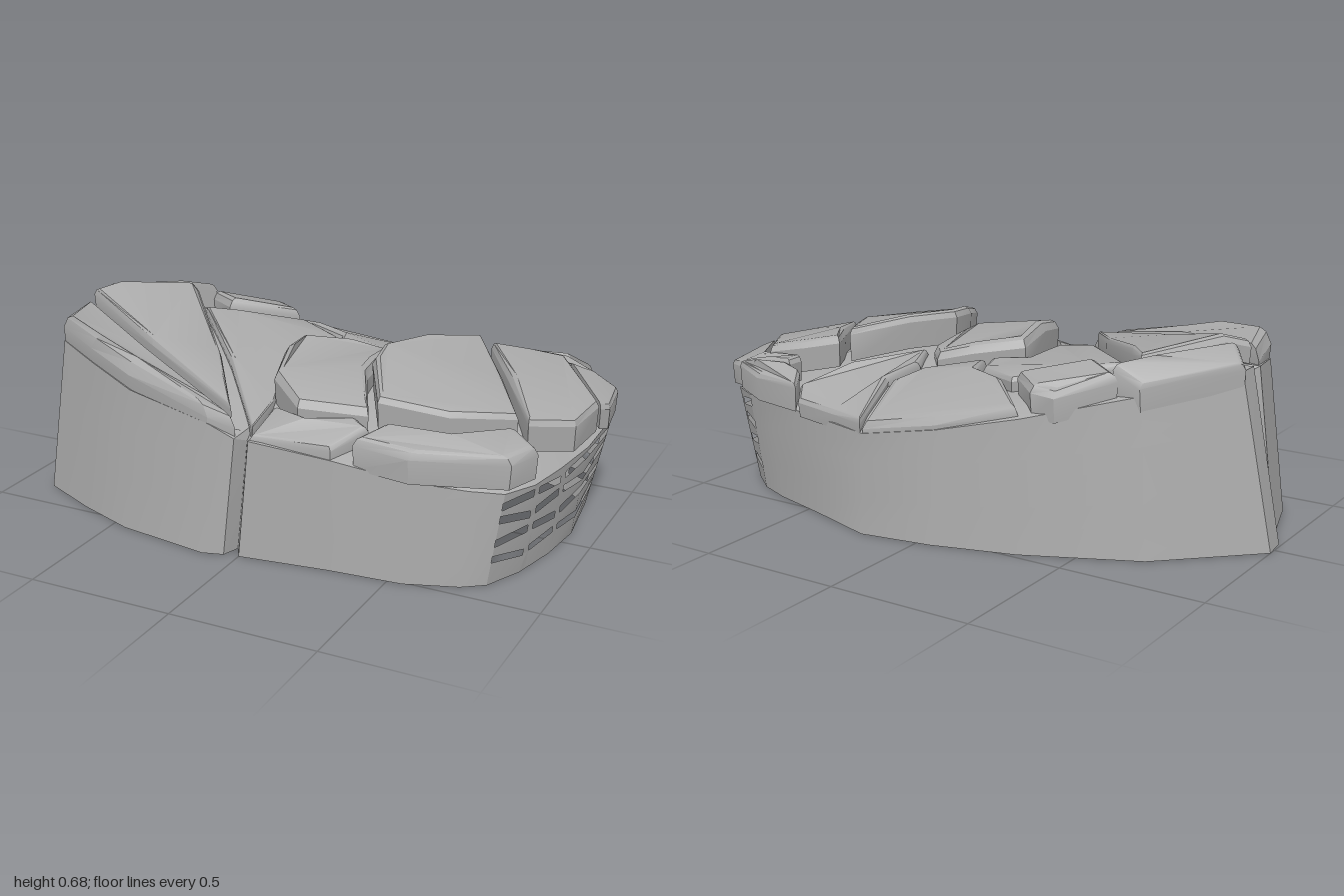
import * as THREE from 'three';
import { toCreasedNormals } from 'three/addons/utils/BufferGeometryUtils.js';

const stone = new THREE.MeshStandardMaterial({ color: 0xaaaaaa, side: THREE.DoubleSide });
stone.name = 'grey stone';

// Skin rings of [x, y, z] points; optionally close each ring and cap the last one
function loft(rings, closed, cap) {
  const n = rings[0].length;
  const index = [];
  for (let r = 0; r < rings.length - 1; r++) {
    for (let i = 0; i < (closed ? n : n - 1); i++) {
      const j = (i + 1) % n, a = r * n, b = a + n;
      index.push(a + i, a + j, b + j, a + i, b + j, b + i);
    }
  }
  if (cap) {
    const top = rings[rings.length - 1].map(p => new THREE.Vector2(p[0], -p[2]));
    const base = (rings.length - 1) * n;
    for (const f of THREE.ShapeUtils.triangulateShape(top, [])) index.push(...f.map(i => base + i));
  }
  const g = new THREE.BufferGeometry();
  g.setAttribute('position', new THREE.Float32BufferAttribute(rings.flat(2), 3));
  g.setIndex(index);
  return toCreasedNormals(g, 0.5);
}

const mix = (a, b, t) => a.map((v, i) => v + (b[i] - v) * t);

// Outline: foot x, z then rim x, z and rim height
const outline = [
  [0.78, -0.41, 0.83, -0.42, 0.34], [0.66, -0.46, 0.69, -0.48, 0.35],
  [0.45, -0.52, 0.47, -0.51, 0.34], [0.2, -0.6, 0.2, -0.58, 0.34], [-0.05, -0.56, -0.05, -0.53, 0.38],
  [-0.33, -0.48, -0.32, -0.45, 0.44], [-0.7, -0.31, -0.65, -0.27, 0.52], [-1, -0.03, -0.88, -0.03, 0.58],
  [-0.99, 0.06, -0.88, 0.05, 0.58], [-0.94, 0.08, -0.85, 0.07, 0.55], [-0.95, 0.11, -0.88, 0.1, 0.57],
  [-0.87, 0.37, -0.82, 0.32, 0.54], [-0.66, 0.47, -0.64, 0.42, 0.52], [-0.45, 0.55, -0.44, 0.5, 0.48],
  [-0.12, 0.6, -0.11, 0.56, 0.44], [-0.05, 0.58, -0.02, 0.55, 0.4], [-0.03, 0.52, 0, 0.5, 0.38],
  [0, 0.57, 0.03, 0.55, 0.4], [0.3, 0.53, 0.3, 0.51, 0.37], [0.55, 0.51, 0.56, 0.49, 0.34],
  [0.72, 0.45, 0.73, 0.43, 0.32], [0.79, 0.4, 0.83, 0.38, 0.31],
];
const brokenEnd = [
  outline[outline.length - 1], [0.85, 0.27, 0.89, 0.27, 0.31], [0.89, 0.1, 0.92, 0.1, 0.31],
  [0.91, -0.08, 0.95, -0.08, 0.32], [0.88, -0.33, 0.95, -0.34, 0.33], outline[0],
];
const onWall = (p, t) => [p[0] + (p[2] - p[0]) * t, p[4] * t, p[1] + (p[3] - p[1]) * t];
const bedHeight = (x, z) =>
  0.48 - 0.12 * x - 0.3 * z * z + 0.06 * Math.exp(-10 * ((x - 0.5) ** 2 + (z - 0.05) ** 2));

// Tops of the separate blocks: [x, z, height] round each edge, then side depth and bevel
const slabs = {
  frontLeftBlock: [[[-0.87, 0.11, 0.63], [-0.82, 0.32, 0.64], [-0.64, 0.42, 0.62], [-0.44, 0.5, 0.58],
    [-0.11, 0.56, 0.51], [-0.02, 0.54, 0.48], [-0.1, 0.52, 0.51], [-0.5, 0.31, 0.58]], 0.1, 0.05],
  leftRidgeBlock: [[[-0.86, 0.07, 0.66], [-0.48, 0.29, 0.59], [-0.05, 0.51, 0.5], [-0.25, 0.22, 0.56],
    [-0.55, -0.15, 0.64], [-0.62, -0.22, 0.64], [-0.8, 0.01, 0.68]], 0.08, 0.025],
  leftTipBlock: [[[-0.89, -0.03, 0.61], [-0.84, 0.02, 0.66], [-0.64, -0.22, 0.64], [-0.56, -0.29, 0.62],
    [-0.65, -0.28, 0.57]], 0.1, 0.025],
  backLeftBlock: [[[-0.58, -0.29, 0.59], [-0.45, -0.19, 0.6], [-0.23, -0.32, 0.56], [-0.34, -0.42, 0.55],
    [-0.42, -0.41, 0.54]], 0.11, 0.03],
  centreLeftBlock: [[[-0.52, -0.14, 0.58], [-0.22, 0.21, 0.53], [0.03, 0.52, 0.44], [0.02, 0.36, 0.47],
    [-0.04, 0.17, 0.5], [-0.06, -0.01, 0.51], [0.01, -0.12, 0.52], [-0.03, -0.22, 0.52],
    [-0.2, -0.31, 0.53], [-0.42, -0.19, 0.57]], 0.08, 0.02],
  backBlock: [[[-0.31, -0.44, 0.48], [-0.18, -0.31, 0.52], [-0.02, -0.22, 0.52], [0.02, -0.12, 0.52],
    [0.24, -0.2, 0.48], [0.28, -0.32, 0.46], [0.2, -0.58, 0.39], [-0.05, -0.53, 0.43]], 0.08, 0.035],
  backLedge: [[[0.21, -0.58, 0.39], [0.29, -0.32, 0.46], [0.25, -0.19, 0.49], [0.31, -0.06, 0.5],
    [0.48, -0.28, 0.48], [0.56, -0.46, 0.43], [0.52, -0.52, 0.4], [0.35, -0.54, 0.39]], 0.07, 0.02],
  centreBlock: [[[-0.07, -0.02, 0.58], [-0.04, 0.16, 0.6], [0.01, 0.33, 0.57], [0.15, 0.44, 0.53],
    [0.36, 0.36, 0.51], [0.27, 0.17, 0.56], [0.25, 0.03, 0.56], [0.27, -0.08, 0.53], [0.2, -0.16, 0.53],
    [0.08, -0.12, 0.56]], 0.12, 0.035],
  frontLedge: [[[0.03, 0.54, 0.42], [0.3, 0.51, 0.42], [0.38, 0.4, 0.46], [0.33, 0.37, 0.47],
    [0.16, 0.45, 0.47], [0.04, 0.4, 0.47]], 0.07, 0.02],
  rightPlate: [[[0.27, 0.06, 0.62], [0.29, 0.18, 0.61], [0.4, 0.38, 0.56], [0.62, 0.33, 0.53],
    [0.8, 0.2, 0.51], [0.66, -0.03, 0.55], [0.5, -0.26, 0.59], [0.36, -0.1, 0.62]], 0.12, 0.025],
  rightEndPlate: [[[0.53, -0.28, 0.56], [0.68, -0.05, 0.53], [0.83, 0.19, 0.49], [0.95, 0.08, 0.47],
    [0.97, -0.1, 0.48], [0.76, -0.38, 0.52], [0.64, -0.34, 0.54]], 0.11, 0.025],
  backRightBlock: [[[0.62, -0.38, 0.5], [0.78, -0.39, 0.49], [0.97, -0.12, 0.46], [0.99, -0.16, 0.45],
    [0.96, -0.36, 0.44], [0.86, -0.43, 0.46], [0.74, -0.46, 0.49], [0.62, -0.44, 0.5]], 0.09, 0.02],
  backCornerBlock: [[[0.52, -0.53, 0.45], [0.56, -0.46, 0.48], [0.62, -0.44, 0.49], [0.76, -0.47, 0.49],
    [0.84, -0.45, 0.47], [0.7, -0.52, 0.46]], 0.1, 0.02],
  frontRightBlock: [[[0.37, 0.5, 0.46], [0.56, 0.51, 0.45], [0.85, 0.39, 0.44], [0.9, 0.29, 0.45],
    [0.81, 0.22, 0.47], [0.64, 0.36, 0.48], [0.42, 0.4, 0.48]], 0.11, 0.03],
};

function slabGeometry(pts, depth, bevel) {
  const flat = pts.map(p => new THREE.Vector2(p[0], -p[1]));
  if (THREE.ShapeUtils.isClockWise(flat)) pts = [...pts].reverse();
  const c = [0, 1].map(k => pts.reduce((s, p) => s + p[k], 0) / pts.length);
  const ring = (inset, drop) => pts.map(([x, z, y]) => {
    const t = inset / Math.hypot(c[0] - x, c[1] - z);
    return [x + (c[0] - x) * t, y - drop, z + (c[1] - z) * t];
  });
  return loft([ring(0.005, depth), ring(0, bevel), ring(bevel * 0.45, bevel * 0.25), ring(bevel, 0)], true, true);
}

export function createModel() {
  const group = new THREE.Group();
  const add = (name, geometry) => {
    const m = new THREE.Mesh(geometry, stone);
    m.name = name;
    group.add(m);
  };

  // Outer cliff, open underneath
  add('rockWall', loft([0, 0.35, 0.7, 1].map(t => outline.map(p => onWall(p, t))), false, false));

  // Broken end: tapering shards with gaps, tied by posts
  const bands = [[0, 0.2], [0.27, 0.42], [0.5, 0.63], [0.71, 0.82], [0.9, 1]];
  bands.forEach(([lo, hi], b) => {
    const jag = i => 0.05 * ((i + b) % 2);
    add('wallShard', loft([
      brokenEnd.map((p, i) => onWall(p, b > 0 ? lo + jag(i) : 0)),
      brokenEnd.map((p, i) => onWall(p, b < 4 ? hi + jag(i + 1) : 1)),
    ], false, false));
  });
  for (const i of [1, 2, 4]) {
    const a = brokenEnd[i], b = mix(a, brokenEnd[i + 1], 0.2);
    add('wallPost', loft([0, 1].map(t => [onWall(a, t), onWall(b, t)]), false, false));
  }

  // Bed between the blocks, seen at the bottom of the cracks
  const rim = [...outline, ...brokenEnd.slice(1, -1)].map(p => onWall(p, 1));
  const bed = s => rim.map(([x, , z]) => [x * s, bedHeight(x * s, z * s), z * s]);
  add('crackBed', loft([rim, ...[0.9, 0.7, 0.5, 0.3, 0.001].map(bed)], true, false));

  // Weathered blocks on top
  for (const [name, [pts, depth, bevel]] of Object.entries(slabs)) add(name, slabGeometry(pts, depth, bevel));
  return group;
}
